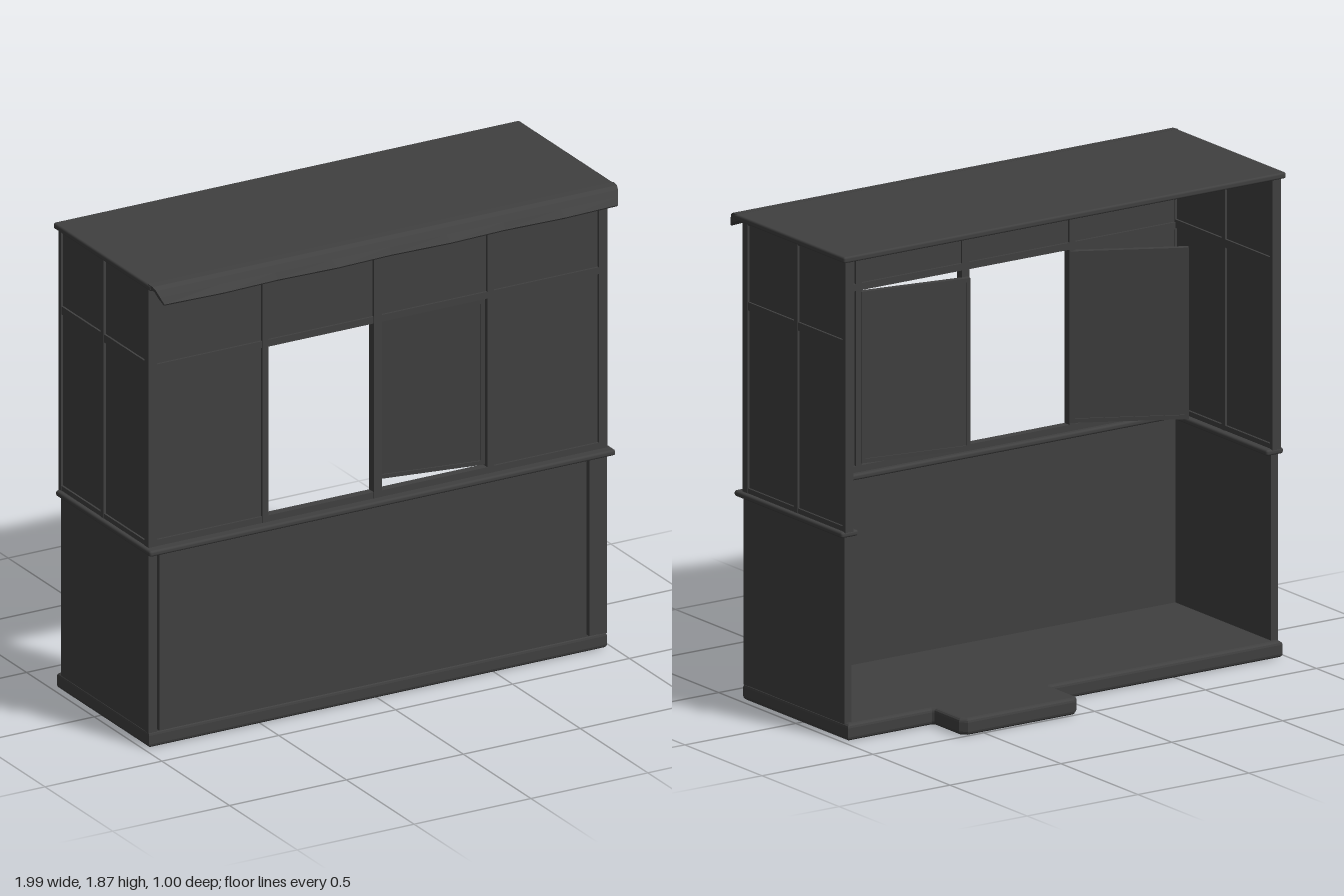
import * as THREE from 'three';
import { RoundedBoxGeometry } from 'three/addons/geometries/RoundedBoxGeometry.js';

export function createModel() {
  const root = new THREE.Group();
  root.name = 'kiosk';
  const charcoal = new THREE.MeshStandardMaterial({ color: 0x404040, side: THREE.DoubleSide });
  charcoal.name = 'charcoal';

  const add = (geo, name, parent = root) => {
    const m = new THREE.Mesh(geo, charcoal);
    m.name = name;
    parent.add(m);
    return m;
  };
  // Box given by its limits; r rounds its edges
  const box = (name, x0, x1, y0, y1, z0, z1, parent = root, r = 0) => {
    const s = [x1 - x0, y1 - y0, z1 - z0];
    const geo = r ? new RoundedBoxGeometry(...s, 2, r) : new THREE.BoxGeometry(...s);
    geo.translate((x0 + x1) / 2, (y0 + y1) / 2, (z0 + z1) / 2);
    return add(geo, name, parent);
  };

  // Floor slab with a back step, rounded edges
  const b = 0.015;
  const outline = [[-0.98, -0.37], [0.98, -0.37], [0.98, 0.31], [0.61, 0.31], [0.595, 0.325],
    [0.595, 0.485], [0.58, 0.5], [0.08, 0.5], [0.065, 0.485], [0.065, 0.325], [0.05, 0.31], [-0.98, 0.31]];
  const inset = outline.map(([x, y]) => new THREE.Vector2(
    x > 0.9 ? x - b : x < -0.9 ? x + b : x > 0.3 ? x - b : x + b,
    y < 0 ? y + b : y - b));
  const floor = new THREE.ExtrudeGeometry(new THREE.Shape(inset), {
    depth: 0.065 - 2 * b, bevelEnabled: true, bevelSize: b, bevelThickness: b, bevelSegments: 3 });
  floor.rotateX(-Math.PI / 2).translate(0, b, 0);
  add(floor, 'floor');

  // Lower front wall
  box('lowerFrontWall', -0.95, 0.95, 0.06, 0.785, 0.335, 0.365);

  // Parts mirrored on both sides
  for (const s of [-1, 1]) {
    const side = (name, xa, xb, y0, y1, z0, z1, r) =>
      box(name, Math.min(s * xa, s * xb), Math.max(s * xa, s * xb), y0, y1, z0, z1, root, r);
    side('lowerSideWall', 0.945, 0.978, 0.06, 0.785, -0.283, 0.342);
    side('cornerPost', 0.945, 0.98, 0.06, 0.785, 0.34, 0.368);
    side('frontPilaster', 0.895, 0.945, 0.07, 0.78, 0.36, 0.386);
    side('sideRail', 0.92, 0.997, 0.78, 0.803, -0.293, 0.405, 0.009);
    // Upper side wall: thin panel with frame bars
    side('upperSidePanel', 0.956, 0.972, 0.80, 1.85, -0.285, 0.36);
    for (const [z0, z1] of [[-0.295, -0.278], [0.015, 0.038], [0.34, 0.37]])
      side('sideUpright', 0.945, 0.982, 0.80, 1.85, z0, z1);
    for (const [y0, y1] of [[0.80, 0.822], [1.508, 1.54], [1.835, 1.85]])
      side('sideCrossbar', 0.947, 0.98, y0, y1, -0.29, 0.365);
    // Upper front fixed panel beside the window
    side('frontSidePanel', 0.48, 0.96, 0.80, 1.51, 0.345, 0.36);
    side('windowJamb', 0.468, 0.495, 0.80, 1.85, 0.336, 0.37);
  }

  // Upper front frame
  box('frontRail', -0.997, 0.997, 0.78, 0.803, 0.315, 0.407, root, 0.009);
  box('windowSill', -0.95, 0.95, 0.80, 0.828, 0.336, 0.369);
  box('windowHead', -0.95, 0.95, 1.503, 1.53, 0.336, 0.369);
  box('topBeam', -0.95, 0.95, 1.83, 1.85, 0.336, 0.369);
  box('headerPanel', -0.96, 0.96, 1.51, 1.85, 0.345, 0.36);
  box('centreMullion', -0.018, 0.016, 0.80, 1.85, 0.336, 0.37);

  // Casement leaf hinged at its local origin, extending toward dir * x
  const casement = (name, hingeX, dir, angle) => {
    const leaf = new THREE.Group();
    leaf.name = name;
    const w = 0.443, y0 = 0.835, y1 = 1.496, t = 0.016;
    const bar = (n, a, c, ya, yb, d) =>
      box(n, Math.min(dir * a, dir * c), Math.max(dir * a, dir * c), ya, yb, -d, d, leaf);
    bar('leafPanel', 0.01, w - 0.01, y0 + 0.01, y1 - 0.01, 0.005);
    bar('leafStile', 0, t, y0, y1, 0.011);
    bar('leafStile', w - t, w, y0, y1, 0.011);
    bar('leafRail', t, w - t, y0, y0 + t, 0.011);
    bar('leafRail', t, w - t, y1 - t, y1, 0.011);
    leaf.position.set(hingeX, 0, 0.345);
    leaf.rotation.y = angle;
    root.add(leaf);
  };
  casement('ajarCasement', 0.468, -1, -10 * Math.PI / 180);
  casement('openCasement', -0.475, 1, 152 * Math.PI / 180);

  // Roof slab
  box('roof', -0.997, 0.997, 1.844, 1.868, -0.31, 0.408, root, 0.008);

  // Scalloped awning flap: cross-sections swept along x
  const cols = 8, pos = [], idx = [];
  for (let i = 0; i <= cols; i++) {
    const u = -1 + 2 * i / cols, k = i % 2;
    const tipZ = k ? 0.495 : 0.467, tipY = k ? 1.812 : 1.803;
    const section = [[0.39, 1.869, 0.995], [0.42, 1.867, 0.993], [0.437, 1.856, 0.988],
      [0.452, 1.834, 0.98], [tipZ, tipY + 0.006, 0.97], [tipZ - 0.004, tipY, 0.97],
      [0.44, 1.825, 0.98], [0.424, 1.848, 0.988], [0.39, 1.85, 0.995]];
    for (const [z, y, hw] of section) pos.push(u * hw, y, z);
  }
  const n = 9;
  for (let i = 0; i < cols; i++)
    for (let j = 0; j < n; j++) {
      const a = i * n + j, c = i * n + (j + 1) % n;
      idx.push(a, c, a + n, c, c + n, a + n);
    }
  // End caps
  for (const e of [0, cols * n])
    for (let j = 0; j < 4; j++) {
      const a = e + j, c = e + j + 1, d = e + 8 - j, f = e + 7 - j;
      if (e) idx.push(a, c, d, c, f, d);
      else idx.push(a, d, c, c, d, f);
    }
  let flap = new THREE.BufferGeometry();
  flap.setAttribute('position', new THREE.Float32BufferAttribute(pos, 3));
  flap.setIndex(idx);
  flap = flap.toNonIndexed();
  flap.computeVertexNormals();
  add(flap, 'awningFlap');

  return root;
}
